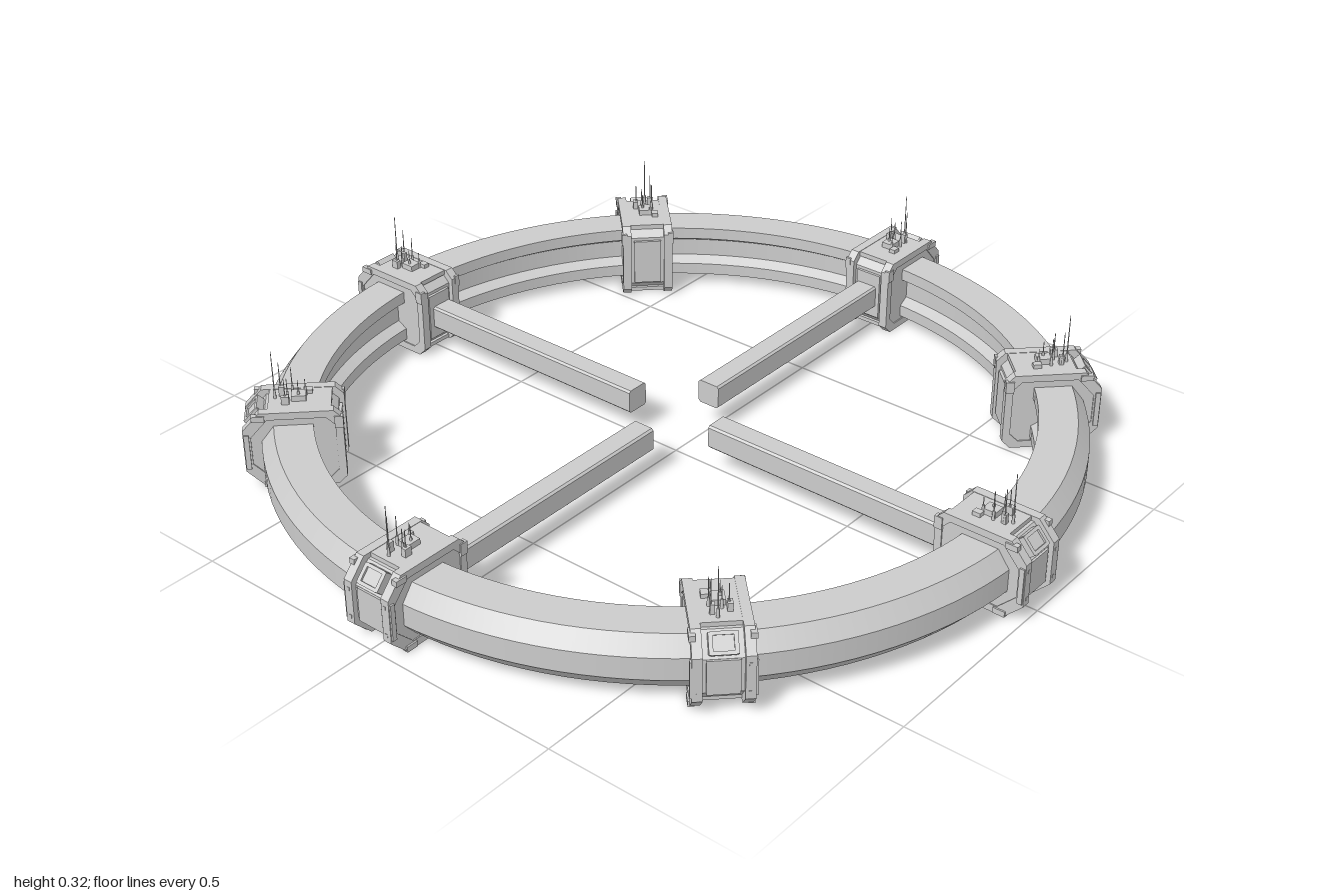
import * as THREE from 'three';
import { mergeGeometries, toCreasedNormals } from 'three/addons/utils/BufferGeometryUtils.js';

const grey = new THREE.MeshStandardMaterial({ color: 0xcccccc });

function part(name, geometry, parent, x = 0, y = 0, z = 0) {
  const mesh = new THREE.Mesh(geometry, grey);
  mesh.name = name;
  mesh.position.set(x, y, z);
  parent.add(mesh);
  return mesh;
}

const box = (w, h, d) => new THREE.BoxGeometry(w, h, d);
const toPoints = (list) => list.map(([x, y]) => new THREE.Vector2(x, y));

// Extrude a (radius, height) outline across the width of a module
function slab(outline, width, hole) {
  const shape = new THREE.Shape(toPoints(outline));
  if (hole) shape.holes.push(new THREE.Path(toPoints(hole)));
  const g = new THREE.ExtrudeGeometry(shape, { depth: width, bevelEnabled: false });
  return g.translate(0, 0, -width / 2);
}

// Hoop with crisp profile edges and smooth curvature around the circle
function hoopGeometry() {
  const profile = toPoints([
    [0.84, 0.03], [0.925, 0.03], [0.96, 0.07], [0.96, 0.125], [0.93, 0.165],
    [0.84, 0.165], [0.84, 0.135], [0.865, 0.12], [0.865, 0.075], [0.84, 0.06],
  ]);
  const bands = profile.map((p, i) =>
    new THREE.LatheGeometry([p, profile[(i + 1) % profile.length]], 128));
  return mergeGeometries(bands);
}

// Chamfered outline of a module, shrunk by an inset
function outline(inset) {
  const a = 0.77 + inset, b = 1.0 - inset, lo = 0.003 + inset, hi = 0.2 - inset;
  return [
    [a, lo + 0.02], [a + 0.02, lo], [b - 0.045, lo], [b, lo + 0.045],
    [b, hi - 0.045], [b - 0.04, hi], [a + 0.02, hi], [a, hi - 0.02],
  ];
}

function createModule() {
  const m = new THREE.Group();
  m.name = 'ringModule';
  part('moduleBody', slab(outline(0.012), 0.124), m);

  for (const s of [-1, 1]) {
    // Raised rims on both edges, with a stepped outer guard
    part('sideRim', slab(outline(0), 0.022, outline(0.018)), m, 0, 0, s * 0.054);
    part('outerGuard', box(0.012, 0.09, 0.016), m, 0.992, 0.1, s * 0.061);
    part('guardBracket', box(0.03, 0.014, 0.014), m, 0.962, 0.187, s * 0.062);
    part('innerBracket', box(0.02, 0.03, 0.014), m, 0.779, 0.17, s * 0.061);
    part('lowerBracket', box(0.03, 0.014, 0.014), m, 0.945, 0.012, s * 0.062);
    // Bolts on the rims
    for (const y of [0.065, 0.135])
      part('rimBolt', box(0.006, 0.008, 0.006), m, 0.998, y, s * 0.053);
  }

  // Roof, floor and face plates
  part('roofPlate', box(0.145, 0.012, 0.13), m, 0.868, 0.193, 0);
  part('floorPlate', box(0.15, 0.01, 0.11), m, 0.868, 0.011, 0);
  part('outerPanel', box(0.008, 0.085, 0.07), m, 0.989, 0.1, 0);
  part('innerPanel', box(0.008, 0.12, 0.07), m, 0.779, 0.1, 0);

  // Window frame and pane on the upper chamfer
  const hatch = new THREE.Group();
  hatch.name = 'window';
  hatch.position.set(0.974, 0.171, 0);
  hatch.rotation.z = Math.atan2(0.04, 0.045);
  for (const s of [-1, 1]) {
    part('windowJamb', box(0.022, 0.046, 0.009), hatch, 0, 0, s * 0.026);
    part('windowRail', box(0.022, 0.008, 0.052), hatch, 0, s * 0.02, 0);
  }
  part('windowPane', box(0.012, 0.036, 0.046), hatch);
  m.add(hatch);

  // Roof machinery: [radius, across, length, height, width]
  for (const [r, z, l, h, w] of [
    [0.87, 0, 0.034, 0.016, 0.03], [0.9, -0.022, 0.018, 0.022, 0.012],
    [0.85, 0.025, 0.02, 0.012, 0.016], [0.91, 0.015, 0.012, 0.026, 0.01],
  ]) part('roofUnit', box(l, h, w), m, r, 0.197 + h / 2, z);

  // Antennas: [radius, across, tip height]
  for (const [r, z, top] of [
    [0.925, 0.005, 0.322], [0.912, 0.018, 0.285], [0.9, -0.02, 0.262],
    [0.885, 0.02, 0.27], [0.87, -0.005, 0.25], [0.855, 0.014, 0.24],
    [0.895, -0.006, 0.255],
  ]) {
    const h = top - 0.197;
    part('antenna', new THREE.CylinderGeometry(0.0008, 0.0018, h, 6), m, r, 0.197 + h / 2, z);
    part('antennaBase', new THREE.CylinderGeometry(0.003, 0.004, 0.024, 6), m, r, 0.209, z);
  }
  return m;
}

// Square beam with softened long edges
function spokeGeometry() {
  const h = 0.03, c = 0.005;
  const section = new THREE.Shape(toPoints([
    [-h + c, -h], [h - c, -h], [h, -h + c], [h, h - c],
    [h - c, h], [-h + c, h], [-h, h - c], [-h, -h + c],
  ]));
  const g = new THREE.ExtrudeGeometry(section, { depth: 0.66, bevelEnabled: false });
  g.translate(0, 0, 0.12).rotateY(Math.PI / 2);
  return toCreasedNormals(g, 0.3);
}

export function createModel() {
  const model = new THREE.Group();
  model.name = 'spokedRing';
  part('hoop', hoopGeometry(), model);

  // Eight modules around the hoop
  const module = createModule();
  for (let i = 0; i < 8; i++) {
    const copy = module.clone();
    copy.rotation.y = (i * Math.PI) / 4;
    model.add(copy);
  }

  // Four spokes that stop short of the middle
  const spoke = spokeGeometry();
  for (let i = 0; i < 4; i++)
    part('spoke', spoke, model, -0.005, 0.097, -0.008).rotation.y = (i * Math.PI) / 2;

  return model;
}
